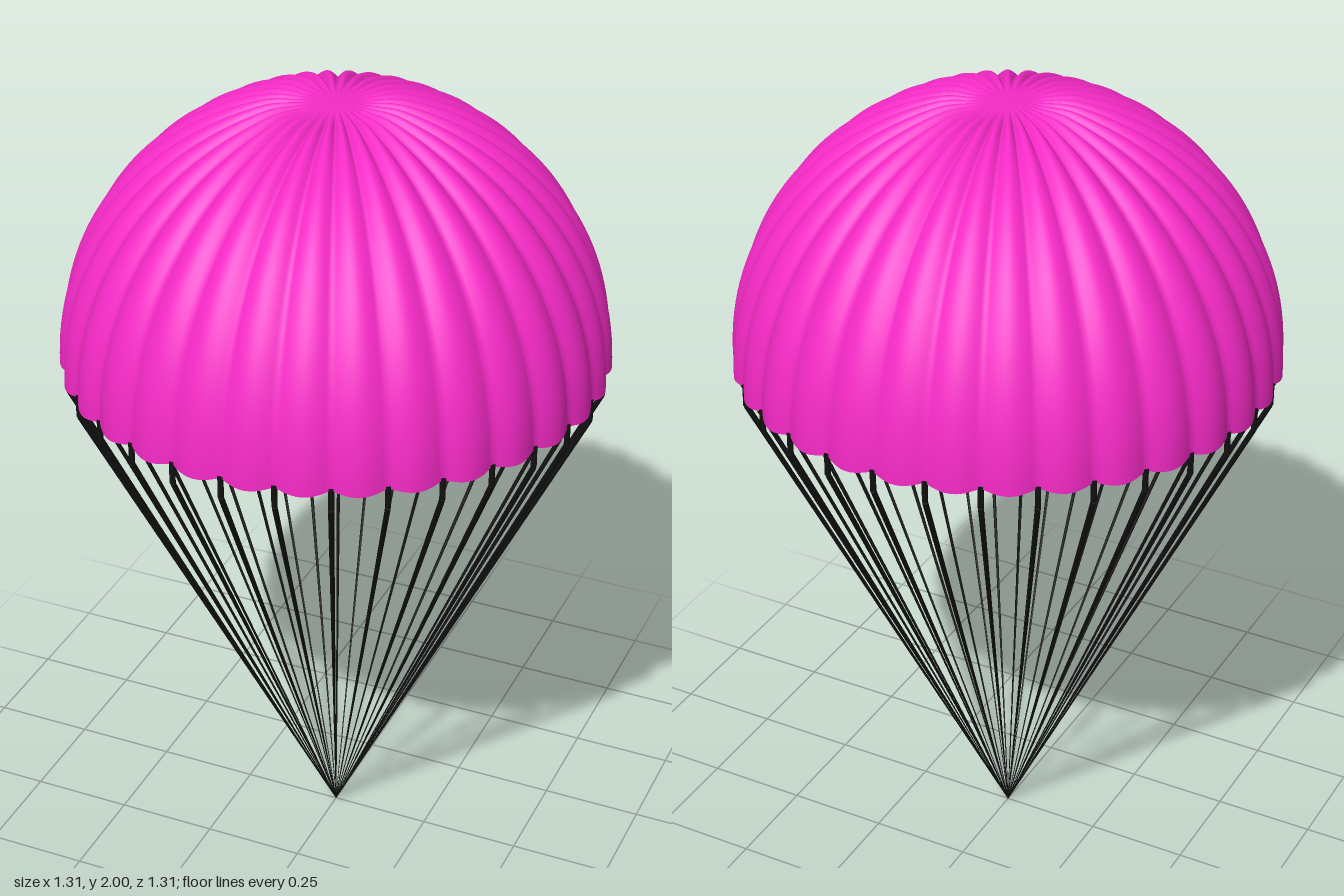
import * as THREE from 'three';
import { mergeVertices } from 'three/addons/utils/BufferGeometryUtils.js';

const GORES = 32;
const RADIUS = 0.64; // radius along the seams
const RIM_Y = 1.36;
const BULGE = 0.016; // how far each gore puffs out between seams

// Hemisphere whose gores puff out between the seams and scallop the rim
function canopyGeometry() {
  const sphere = new THREE.SphereGeometry(1, GORES * 10, 40, 0, Math.PI * 2, 0, Math.PI / 2);
  sphere.deleteAttribute('uv');
  sphere.deleteAttribute('normal');
  const geometry = mergeVertices(sphere, 1e-5);
  const pos = geometry.attributes.position;
  const p = new THREE.Vector3();
  for (let i = 0; i < pos.count; i++) {
    p.fromBufferAttribute(pos, i);
    const ring = Math.hypot(p.x, p.z);
    const puff = Math.abs(Math.sin(Math.atan2(p.z, p.x) * GORES / 2));
    const fade = THREE.MathUtils.smoothstep(ring, 0.07, 0.25);
    const droop = 0.01 * puff * (1 - p.y) ** 4;
    p.multiplyScalar(RADIUS + BULGE * puff * fade);
    pos.setXYZ(i, p.x, p.y + RIM_Y - droop, p.z);
  }
  geometry.computeVertexNormals();
  return geometry;
}

// Tapered rod between two points
function rod(name, from, to, r0, r1, material) {
  const dir = to.clone().sub(from);
  const mesh = new THREE.Mesh(new THREE.CylinderGeometry(r1, r0, dir.length(), 6), material);
  mesh.name = name;
  mesh.position.copy(from).addScaledVector(dir, 0.5);
  mesh.quaternion.setFromUnitVectors(new THREE.Vector3(0, 1, 0), dir.normalize());
  return mesh;
}

export function createModel() {
  const model = new THREE.Group();
  model.name = 'parachute';

  const fabric = new THREE.MeshStandardMaterial({ color: 0xf52ac6, side: THREE.DoubleSide });
  const cord = new THREE.MeshStandardMaterial({ color: 0x111111 });

  const canopy = new THREE.Mesh(canopyGeometry(), fabric);
  canopy.name = 'canopy';
  model.add(canopy);

  // One short strap and one long tapering line hang from every seam
  const lines = new THREE.Group();
  lines.name = 'suspensionLines';
  const apex = new THREE.Vector3(0, 0, 0);
  for (let i = 0; i < GORES; i++) {
    const a = (i / GORES) * Math.PI * 2;
    const x = Math.cos(a) * RADIUS, z = Math.sin(a) * RADIUS;
    const top = new THREE.Vector3(x, RIM_Y + 0.005, z);
    const bend = new THREE.Vector3(x, 1.31, z);
    lines.add(rod('strap', top, bend, 0.007, 0.007, cord));
    lines.add(rod('line', bend, apex, 0.007, 0.0008, cord));
  }
  model.add(lines);
  return model;
}
